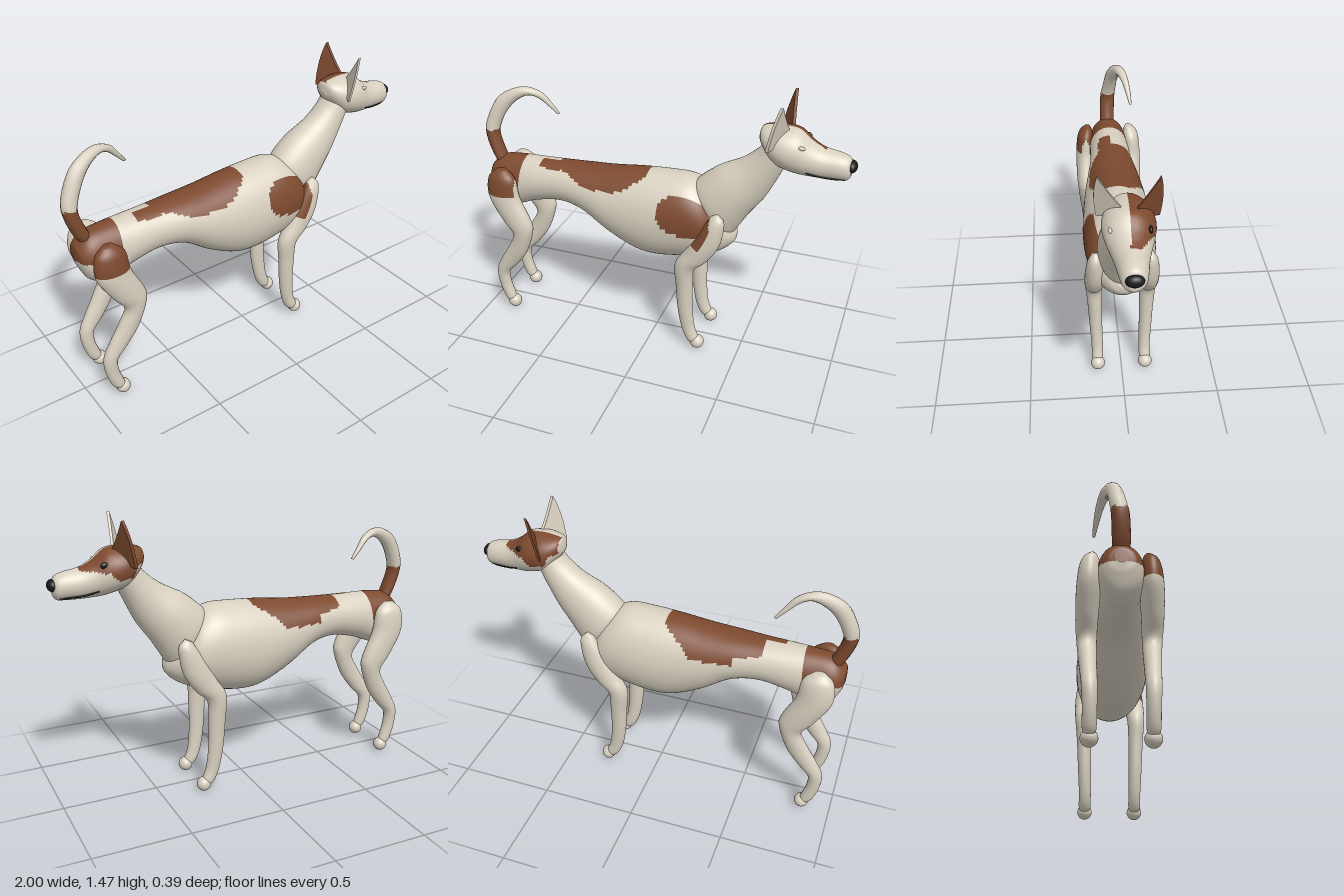
import * as THREE from 'three';

const cream = new THREE.MeshStandardMaterial({ name: 'cream coat', color: 0xd8d0c0 });
const brown = new THREE.MeshStandardMaterial({ name: 'brown patch', color: 0x7d4a2f });
const black = new THREE.MeshStandardMaterial({ name: 'black', color: 0x1a1a1a });

// Is (x, y) inside a flat polygon of [x, y] corners?
function inside(poly, x, y) {
  let hit = false;
  for (let i = 0, j = poly.length - 1; i < poly.length; j = i++) {
    const [ax, ay] = poly[i], [bx, by] = poly[j];
    if ((ay > y) !== (by > y) && x < ((bx - ax) * (y - ay)) / (by - ay) + ax) hit = !hit;
  }
  return hit;
}

// Smooth body through elliptical sections [edgeAx, edgeAy, edgeBx, edgeBy, halfWidth, z].
// isBrown(x, y, z) picks the faces that get the patch colour.
function loft(name, sections, isBrown = () => false, radial = 40, step = 6) {
  const curve = (f) => new THREE.CatmullRomCurve3(sections.map(f), false, 'catmullrom', 0.5);
  const edgeA = curve((s) => new THREE.Vector3(s[0], s[1], s[5] || 0));
  const edgeB = curve((s) => new THREE.Vector3(s[2], s[3], s[5] || 0));
  const width = curve((s, i) => new THREE.Vector3(s[4], i, 0));
  const rows = (sections.length - 1) * step;
  const points = [];
  for (let i = 0; i <= rows; i++) {
    const a = edgeA.getPoint(i / rows), b = edgeB.getPoint(i / rows), w = width.getPoint(i / rows).x;
    const mid = a.clone().add(b).multiplyScalar(0.5), half = a.sub(b).multiplyScalar(0.5);
    for (let j = 0; j < radial; j++) {
      const t = (j / radial) * Math.PI * 2;
      const p = mid.clone().addScaledVector(half, Math.cos(t));
      p.z += w * Math.sin(t);
      points.push(p);
    }
  }
  const first = points.length, last = first + 1;
  const centre = (row) => points.slice(row * radial, (row + 1) * radial)
    .reduce((sum, p) => sum.add(p), new THREE.Vector3()).divideScalar(radial);
  points.push(centre(0), centre(rows));

  const plain = [], patch = [];
  const face = (...ids) => {
    const c = new THREE.Vector3();
    ids.forEach((k) => c.addScaledVector(points[k], 1 / ids.length));
    const list = isBrown(c.x, c.y, c.z) ? patch : plain;
    list.push(ids[0], ids[1], ids[2]);
    if (ids.length === 4) list.push(ids[0], ids[2], ids[3]);
  };
  for (let j = 0; j < radial; j++) {
    const k = (j + 1) % radial;
    for (let i = 0; i < rows; i++) {
      const r = i * radial, n = r + radial;
      face(r + j, r + k, n + k, n + j);
    }
    face(first, k, j);
    face(last, rows * radial + j, rows * radial + k);
  }
  const geo = new THREE.BufferGeometry().setFromPoints(points);
  geo.setIndex([...plain, ...patch]);
  geo.addGroup(0, plain.length, 0);
  geo.addGroup(plain.length, patch.length, 1);
  geo.computeVertexNormals();
  const mesh = new THREE.Mesh(geo, [cream, brown]);
  mesh.name = name;
  return mesh;
}

function ball(name, material, x, y, z, rx, ry, rz) {
  const mesh = new THREE.Mesh(new THREE.SphereGeometry(1, 24, 16), material);
  mesh.name = name;
  mesh.position.set(x, y, z);
  mesh.scale.set(rx, ry, rz);
  return mesh;
}

// Pointed upright ear, a thin plate leaning along the skull
function ear(name, side, material) {
  const s = new THREE.Shape();
  s.moveTo(0.02, 1.31);
  s.quadraticCurveTo(0.08, 1.38, 0.135, 1.47);
  s.quadraticCurveTo(0.16, 1.37, 0.14, 1.24);
  s.quadraticCurveTo(0.08, 1.25, 0.02, 1.31);
  const geo = new THREE.ExtrudeGeometry(s, { depth: 0.014, bevelEnabled: false, curveSegments: 10 });
  geo.rotateY(-side * Math.PI / 2);
  const p = geo.attributes.position;
  for (let i = 0; i < p.count; i++) {
    p.setX(i, p.getX(i) + 0.597 + 0.24 * (p.getY(i) - 1.24) - 0.51 * (Math.abs(p.getZ(i)) - 0.14));
  }
  geo.computeVertexNormals();
  const mesh = new THREE.Mesh(geo, material);
  mesh.name = name;
  return mesh;
}

// Coat patches in side profile
const saddleLeft = [[-0.57, 1.05], [-0.56, 0.93], [-0.48, 0.92], [-0.38, 0.88], [-0.31, 0.872],
  [-0.17, 0.885], [-0.04, 0.97], [-0.04, 1.05]];
const saddleRight = [[-0.58, 1.05], [-0.55, 0.9], [-0.42, 0.88], [-0.42, 0.84], [-0.2, 0.84],
  [-0.14, 0.9], [-0.04, 0.97], [-0.04, 1.05]];
const flank = [[0.05, 0.86], [0.08, 0.905], [0.14, 0.92], [0.24, 0.91], [0.31, 0.86], [0.33, 0.78],
  [0.3, 0.72], [0.2, 0.715], [0.1, 0.74], [0.05, 0.8]];
const shoulder = [[0.26, 0.87], [0.33, 0.84], [0.335, 0.77], [0.29, 0.66], [0.235, 0.68]];
const mask = [[0.54, 1.36], [0.54, 1.25], [0.58, 1.25], [0.6, 1.19], [0.68, 1.18], [0.72, 1.22],
  [0.78, 1.23], [0.85, 1.232], [0.84, 1.26], [0.78, 1.36]];

export function createModel() {
  const dog = new THREE.Group();
  dog.name = 'dog';

  // Torso
  dog.add(loft('torso', [
    [-0.965, 0.86, -0.965, 0.79, 0.03], [-0.955, 0.88, -0.95, 0.74, 0.07],
    [-0.9, 0.925, -0.91, 0.67, 0.1], [-0.8, 0.94, -0.83, 0.64, 0.11],
    [-0.68, 0.942, -0.69, 0.69, 0.115], [-0.54, 0.945, -0.54, 0.718, 0.12],
    [-0.4, 0.95, -0.4, 0.69, 0.14], [-0.25, 0.96, -0.25, 0.59, 0.165],
    [-0.1, 0.978, -0.1, 0.515, 0.18], [0.05, 0.988, 0.02, 0.5, 0.187],
    [0.18, 0.988, 0.18, 0.525, 0.183], [0.26, 0.95, 0.3, 0.56, 0.165],
    [0.31, 0.89, 0.38, 0.6, 0.13], [0.37, 0.81, 0.43, 0.65, 0.08], [0.42, 0.74, 0.44, 0.69, 0.03],
  ], (x, y, z) => (x < -0.76 && y > 0.8)
    || inside(z > 0 ? saddleLeft : saddleRight, x, y)
    || (z > 0 && x > -0.65 && x < -0.53 && y > 0.92)
    || (z > 0 && inside(flank, x, y)), 64, 10));

  // Neck and head
  dog.add(loft('neck', [
    [0.2, 0.93, 0.4, 0.66, 0.1], [0.22, 0.975, 0.44, 0.73, 0.125], [0.32, 1.06, 0.5, 0.83, 0.12],
    [0.44, 1.125, 0.57, 0.93, 0.1], [0.52, 1.19, 0.62, 1.03, 0.09],
    [0.57, 1.25, 0.66, 1.12, 0.085], [0.6, 1.27, 0.68, 1.17, 0.07],
  ]));
  dog.add(loft('head', [
    [0.525, 1.27, 0.53, 1.24, 0.02], [0.54, 1.315, 0.56, 1.2, 0.07], [0.6, 1.33, 0.61, 1.14, 0.11],
    [0.66, 1.332, 0.67, 1.115, 0.12], [0.72, 1.322, 0.73, 1.1, 0.11],
    [0.78, 1.275, 0.79, 1.095, 0.09], [0.84, 1.245, 0.85, 1.093, 0.075],
    [0.92, 1.23, 0.925, 1.095, 0.063], [0.96, 1.215, 0.96, 1.1, 0.052],
    [0.975, 1.19, 0.975, 1.12, 0.03],
  ], (x, y, z) => z < 0.005 && inside(mask, x, y), 48, 8));
  dog.add(ear('leftEar', 1, cream), ear('rightEar', -1, brown));
  dog.add(ball('nose', black, 0.974, 1.17, 0, 0.026, 0.03, 0.041));
  dog.add(ball('leftEye', cream, 0.742, 1.262, 0.086, 0.02, 0.01, 0.009));
  dog.add(ball('rightEye', black, 0.742, 1.258, -0.086, 0.02, 0.016, 0.01));

  // Mouth line on each side of the muzzle
  for (const side of [1, -1]) {
    const path = new THREE.CatmullRomCurve3([[0.77, 1.137, 0.077], [0.83, 1.12, 0.06],
      [0.9, 1.114, 0.049], [0.95, 1.111, 0.032]].map(([x, y, z]) => new THREE.Vector3(x, y, z * side)));
    const mouth = new THREE.Mesh(new THREE.TubeGeometry(path, 24, 0.005, 6), black);
    mouth.name = side > 0 ? 'leftMouth' : 'rightMouth';
    dog.add(mouth);
  }

  // Legs and paws, mirrored left to right
  for (const side of [1, -1]) {
    const label = side > 0 ? 'left' : 'right';
    const place = ([x, y, half, tilt, w, z]) => [x + half, y + tilt, x - half, y - tilt, w, z * side];
    dog.add(loft(label + 'FrontLeg', [
      [0.35, 0.85, 0.02, 0.01, 0.015, 0.135], [0.352, 0.8, 0.052, 0.01, 0.038, 0.137],
      [0.32, 0.7, 0.062, -0.025, 0.05, 0.138], [0.262, 0.6, 0.058, -0.025, 0.05, 0.14],
      [0.203, 0.52, 0.053, -0.01, 0.045, 0.141], [0.202, 0.4, 0.046, 0, 0.038, 0.138],
      [0.208, 0.25, 0.041, 0, 0.034, 0.134], [0.225, 0.13, 0.035, 0.01, 0.031, 0.13],
      [0.25, 0.065, 0.026, 0.02, 0.031, 0.13], [0.275, 0.045, 0.012, 0.022, 0.025, 0.13],
    ].map(place), (x, y, z) => z > 0.1 && inside(shoulder, x, y)));
    dog.add(loft(label + 'HindLeg', [
      [-0.85, 0.9, 0.03, 0, 0.02, 0.125], [-0.848, 0.85, 0.078, 0, 0.045, 0.135],
      [-0.84, 0.74, 0.09, 0, 0.054, 0.14], [-0.775, 0.61, 0.085, 0, 0.05, 0.145],
      [-0.743, 0.53, 0.058, 0.01, 0.045, 0.144], [-0.785, 0.42, 0.052, -0.015, 0.04, 0.14],
      [-0.85, 0.32, 0.046, -0.015, 0.036, 0.135], [-0.898, 0.245, 0.037, -0.005, 0.034, 0.132],
      [-0.897, 0.16, 0.034, 0.005, 0.031, 0.13], [-0.873, 0.08, 0.028, 0.018, 0.03, 0.13],
      [-0.848, 0.048, 0.012, 0.02, 0.025, 0.13],
    ].map(place), (x, y, z) => z > 0 && y > 0.765 && x < -0.77));
    dog.add(ball(label + 'FrontPaw', cream, 0.278, 0.038, 0.13 * side, 0.038, 0.038, 0.038));
    dog.add(ball(label + 'HindPaw', cream, -0.846, 0.038, 0.13 * side, 0.038, 0.038, 0.038));
  }

  // Curled tail with a brown root
  dog.add(loft('tail', [
    [-0.92, 0.86, -0.86, 0.88, 0.04, 0], [-0.965, 0.945, -0.89, 0.945, 0.042, 0],
    [-0.995, 1.05, -0.92, 1.04, 0.042, -0.005], [-0.985, 1.13, -0.91, 1.1, 0.04, -0.015],
    [-0.93, 1.24, -0.87, 1.18, 0.036, -0.03], [-0.85, 1.295, -0.82, 1.235, 0.032, -0.05],
    [-0.77, 1.31, -0.76, 1.265, 0.027, -0.07], [-0.69, 1.28, -0.71, 1.25, 0.02, -0.09],
    [-0.64, 1.22, -0.66, 1.205, 0.014, -0.105], [-0.6, 1.165, -0.615, 1.16, 0.007, -0.115],
  ], (x, y) => y < 1.07, 12));

  return dog;
}
